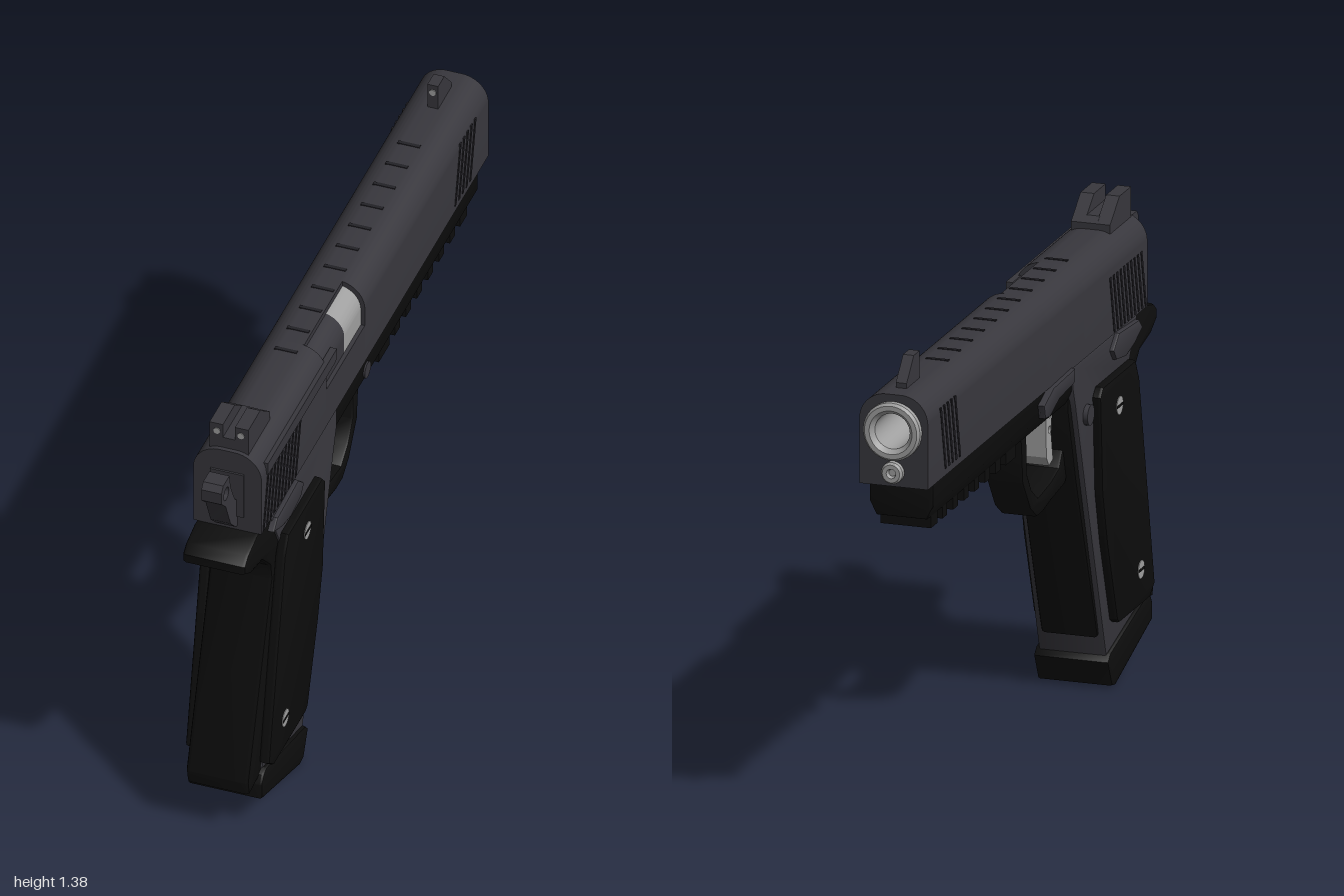
import * as THREE from 'three';
import { toCreasedNormals } from 'three/addons/utils/BufferGeometryUtils.js';

const mat = (name, color) => {
  const m = new THREE.MeshStandardMaterial({ color });
  m.name = name;
  return m;
};

export function createModel() {
  const steel = mat('dark steel', 0x38373d);
  const groove = mat('groove shadow grey', 0x232227);
  const black = mat('matte black', 0x0d0d0d);
  const silver = mat('silver', 0xa0a0a0);
  const model = new THREE.Group();

  const add = (name, geo, material, x = 0, y = 0, z = 0, parent = model) => {
    const m = new THREE.Mesh(geo, material);
    m.name = name;
    m.position.set(x, y, z);
    parent.add(m);
    return m;
  };
  const polygon = pts => new THREE.Shape(pts.map(p => new THREE.Vector2(...p)));
  const extrude = (shape, depth, b) => {
    const g = new THREE.ExtrudeGeometry(shape, {
      depth: depth - 2 * b, curveSegments: 10, bevelEnabled: b > 0,
      bevelThickness: b, bevelSize: b, bevelOffset: -b, bevelSegments: 2,
    });
    return g.translate(0, 0, b - depth / 2);
  };
  // Side outline given as [z, y], extruded across x and centred
  const side = (pts, width, b = 0) => {
    const shape = pts instanceof THREE.Shape ? pts : polygon(pts);
    return toCreasedNormals(extrude(shape, width, b).rotateY(-Math.PI / 2), 0.6);
  };
  // Cross-section in x, y, running from z0 to z1
  const along = (shape, z0, z1, b = 0) =>
    toCreasedNormals(extrude(shape, z1 - z0, b).translate(0, 0, (z0 + z1) / 2), 0.6);
  const pin = (r, len, seg = 20) => new THREE.CylinderGeometry(r, r, len, seg).rotateZ(Math.PI / 2);
  const box = (w, h, d) => new THREE.BoxGeometry(w, h, d);

  // Slide: round-shouldered section, bored at the muzzle, notched at the port
  const slide = new THREE.Group();
  slide.name = 'slide';
  model.add(slide);
  const section = () => {
    const s = new THREE.Shape();
    s.moveTo(-0.102, 1.03).lineTo(0.102, 1.03).lineTo(0.102, 1.22);
    s.absarc(0.022, 1.22, 0.08, 0, Math.PI / 2);
    s.lineTo(-0.022, 1.3);
    s.absarc(-0.022, 1.22, 0.08, Math.PI / 2, Math.PI);
    return s;
  };
  const bored = section();
  bored.holes.push(new THREE.Path().absarc(0, 1.195, 0.08, 0, Math.PI * 2, true));
  add('slideFront', along(bored, -0.975, 0.03), steel, 0, 0, 0, slide);
  add('slideRear', along(section(), 0.34, 0.87), steel, 0, 0, 0, slide);
  const notched = new THREE.Shape();
  notched.moveTo(-0.102, 1.03).lineTo(0.102, 1.03).lineTo(0.102, 1.16);
  notched.lineTo(0.035, 1.16).lineTo(0.035, 1.3).lineTo(-0.022, 1.3);
  notched.absarc(-0.022, 1.22, 0.08, Math.PI / 2, Math.PI);
  add('slideMiddle', along(notched, 0.03, 0.34), steel, 0, 0, 0, slide);
  const inset = new THREE.Shape();
  inset.moveTo(0.035, 1.16).lineTo(0.09, 1.16).lineTo(0.09, 1.215);
  inset.absarc(0.02, 1.215, 0.07, 0, 1.35);
  add('chamber', along(inset, 0.03, 0.165), silver, 0, 0, 0, slide);
  add('portRelief', along(inset, 0.165, 0.34), steel, 0, 0, 0, slide);
  add('extractor', side([[0.83, 1.215], [0.28, 1.215], [0.27, 1.225], [0.27, 1.255], [0.83, 1.255]], 0.02),
    steel, 0.097, 0, 0, slide);

  // Slanted serrations on both sides and short grooves along the top
  const serration = (z, y0, y1) => {
    const dz = -(y1 - y0) * 0.22;
    return side([[z, y0], [z + dz, y1], [z + dz - 0.011, y1], [z - 0.011, y0]], 0.004);
  };
  for (const s of [-1, 1]) {
    for (let i = 0; i < 10; i++)
      add('rearSerration', serration(0.86 - i * 0.029, 1.035, 1.205), groove, s * 0.102, 0, 0, slide);
    for (let i = 0; i < 5; i++)
      add('frontSerration', serration(-0.7 - i * 0.03, 1.05, 1.24), groove, s * 0.102, 0, 0, slide);
  }
  for (let i = 0; i < 11; i++)
    add('topGroove', box(0.066, 0.004, 0.012), groove, -0.005, 1.3, 0.38 - i * 0.1, slide);

  // Sights with aiming dots
  const ear = [[0.857, 1.29], [0.857, 1.38], [0.76, 1.38], [0.68, 1.318], [0.68, 1.29]];
  for (const s of [-1, 1]) {
    add('rearSightEar', side(ear, 0.04), steel, s * 0.038);
    add('rearSightDot', new THREE.CylinderGeometry(0.01, 0.01, 0.004, 14).rotateX(Math.PI / 2),
      silver, s * 0.036, 1.355, 0.858);
  }
  add('rearSightBase', side([[0.857, 1.29], [0.857, 1.335], [0.7, 1.335], [0.68, 1.318], [0.68, 1.29]], 0.04), steel);
  add('frontSight', side([[-0.8, 1.29], [-0.8, 1.38], [-0.85, 1.38], [-0.91, 1.315], [-0.91, 1.29]], 0.032), steel);
  add('frontSightDot', new THREE.CylinderGeometry(0.01, 0.01, 0.004, 14).rotateX(Math.PI / 2),
    silver, 0, 1.355, -0.799);

  // Barrel and recoil rod at the muzzle
  const lathe = pts => toCreasedNormals(new THREE.LatheGeometry(
    pts.map(p => new THREE.Vector2(...p)), 32).rotateX(-Math.PI / 2), 0.5);
  add('barrel', lathe([[0.08, 0.6], [0.08, 0.974], [0.085, 0.976], [0.085, 0.992], [0.078, 1],
    [0.064, 1], [0.052, 0.985], [0.052, 0.7]]), silver, 0, 1.195);
  add('boreEnd', new THREE.CylinderGeometry(0.055, 0.055, 0.01, 24).rotateX(Math.PI / 2), black, 0, 1.195, -0.75);
  add('recoilRod', lathe([[0.032, 0.95], [0.032, 0.99], [0.026, 0.997], [0.014, 0.997], [0.01, 0.985], [0, 0.985]]),
    silver, 0, 1.073);

  // Hammer with a round eye
  add('hammerSeat', box(0.1, 0.15, 0.008), steel, 0, 1.155, 0.872);
  const hammer = polygon([[0.86, 1.04], [0.885, 1.05], [0.925, 1.09], [0.965, 1.18], [0.997, 1.21], [1, 1.25],
    [0.985, 1.268], [0.935, 1.268], [0.925, 1.22], [0.89, 1.15], [0.86, 1.13]]);
  hammer.holes.push(new THREE.Path().absarc(0.96, 1.222, 0.02, 0, Math.PI * 2, true));
  add('hammer', side(hammer, 0.06), steel);

  // Dust cover with accessory rail
  add('dustCover', along(polygon([[-0.095, 1.03], [-0.095, 0.96], [-0.075, 0.92], [0.075, 0.92],
    [0.095, 0.96], [0.095, 1.03]]), -0.91, 0.27, 0.006), black);
  add('railTooth', box(0.15, 0.04, 0.085), black, 0, 0.905, -0.2);
  for (let i = 0; i < 7; i++)
    add('railTooth', box(0.15, 0.04, i === 6 ? 0.055 : 0.04), black, 0, 0.905, -0.308 - i * 0.0895);

  // Frame sides, grip safety with beavertail, and front strap
  add('frame', side([[0.79, 1.03], [0.25, 1.03], [0.25, 0.97], [0.275, 0.9], [0.35, 0.66], [0.53, 0.1],
    [0.86, 0.19], [0.7, 0.75], [0.72, 0.9]], 0.202, 0.006), steel);
  add('backstrap', side([[0.98, 0.99], [0.953, 1.012], [0.88, 1.03], [0.755, 1.025], [0.62, 0.85], [0.8, 0.19],
    [0.85, 0.165], [0.943, 0.155], [0.953, 0.2], [0.76, 0.79], [0.77, 0.845], [0.835, 0.91],
    [0.93, 0.932], [0.98, 0.963]], 0.19, 0.012), black);
  add('frontStrap', side([[0.26, 0.95], [0.255, 0.9], [0.32, 0.68], [0.505, 0.16], [0.6, 0.3], [0.45, 0.9]],
    0.17, 0.01), black);
  add('magazineBase', side([[0.85, 0.19], [0.875, 0.18], [0.89, 0.155], [0.89, 0.107], [0.578, 0.002], [0.55, 0.008],
    [0.514, 0.086], [0.535, 0.107]], 0.224, 0.008), black);

  // Trigger guard and drilled trigger
  add('triggerGuard', side([[0.35, 0.71], [0.315, 0.665], [0.21, 0.652], [0.13, 0.637], [0.08, 0.637], [0.025, 0.675],
    [-0.04, 0.77], [-0.048, 0.85], [-0.06, 0.95], [-0.01, 0.95], [-0.004, 0.79], [0.035, 0.73], [0.09, 0.69],
    [0.2, 0.705], [0.265, 0.725], [0.3, 0.78]], 0.11, 0.008), black);
  const trigger = polygon([[0.265, 0.95], [0.205, 0.95], [0.21, 0.77], [0.232, 0.74], [0.266, 0.75], [0.25, 0.83]]);
  for (const y of [0.845, 0.89])
    trigger.holes.push(new THREE.Path().absarc(0.238, y, 0.011, 0, Math.PI * 2, true));
  add('trigger', side(trigger, 0.07), silver);

  // Paired grip panels, screws, pins and thumb safeties
  const panel = [[0.71, 0.92], [0.435, 0.92], [0.412, 0.895], [0.43, 0.61], [0.47, 0.45], [0.555, 0.2],
    [0.575, 0.188], [0.83, 0.188], [0.87, 0.22], [0.74, 0.86]];
  const lever = [[0.8, 0.99], [0.77, 1.02], [0.6, 1.03], [0.555, 0.99], [0.58, 0.957], [0.66, 0.945], [0.73, 0.96]];
  for (const s of [-1, 1]) {
    add('gripPanel', side(panel, 0.034, 0.01), black, s * 0.11);
    add('thumbSafety', side(lever, 0.03, 0.006), steel, s * 0.1);
    add('framePin', pin(0.025, 0.02), steel, s * 0.09, 0.98, 0);
    for (const [z, y] of [[0.565, 0.83], [0.745, 0.295]]) {
      add('gripScrew', pin(0.027, 0.006), silver, s * 0.126, y, z);
      add('screwSlot', box(0.004, 0.008, 0.05), black, s * 0.128, y, z);
    }
  }

  // Controls on one side only
  add('slideStop', side([[0.23, 1.035], [0.23, 0.995], [0.1, 0.985], [0.02, 0.955], [-0.02, 0.96], [-0.03, 1],
    [0.05, 1.03]], 0.024, 0.004), steel, -0.103);
  add('magazineRelease', pin(0.03, 0.03), steel, -0.1, 0.86, 0.36);

  return model;
}
